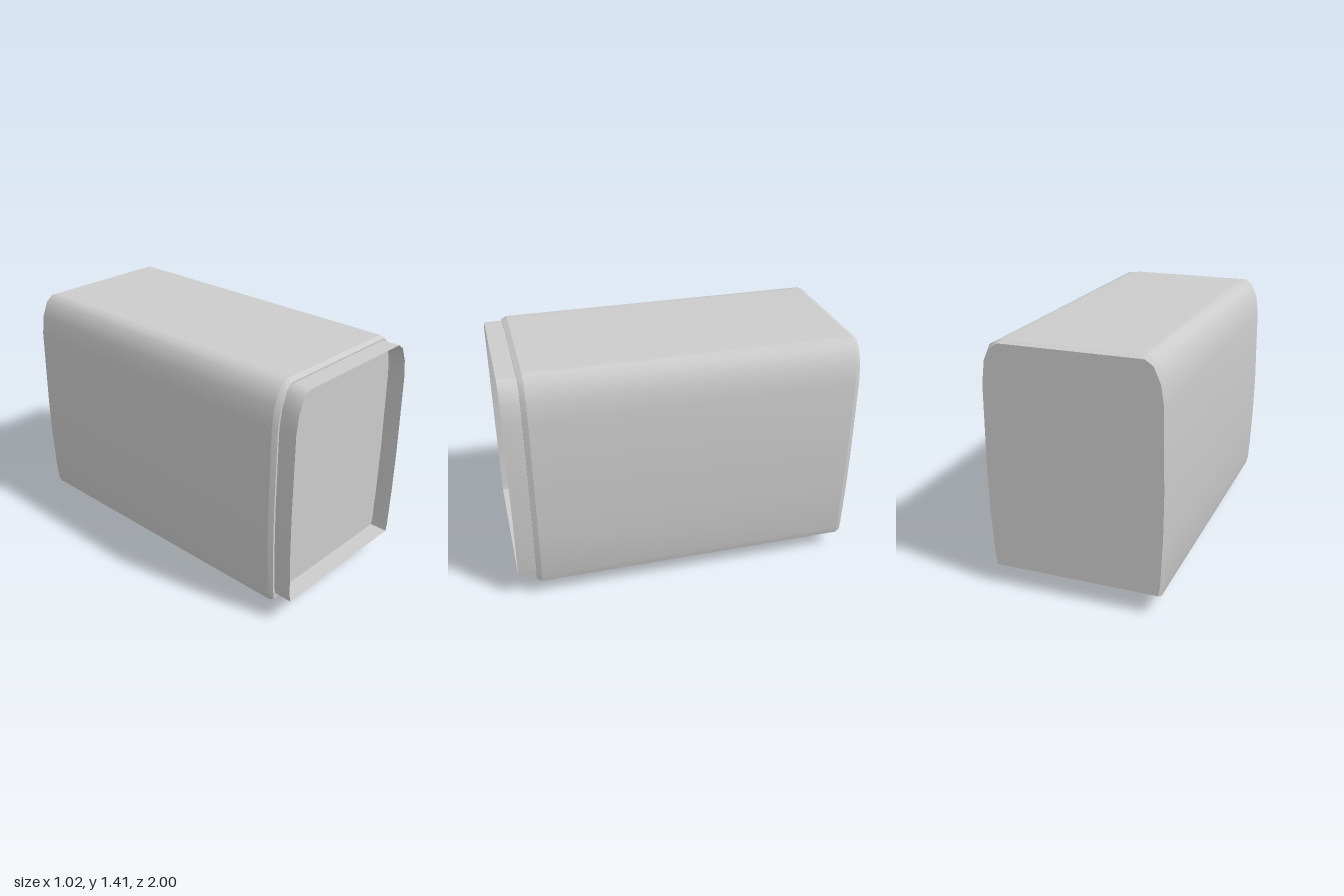
import * as THREE from 'three';
import { toCreasedNormals } from 'three/addons/utils/BufferGeometryUtils.js';

// half cross-sections [x, y], from the bottom corner up to the roof
const OUTER = [[0.465, 0.123], [0.479, 0.112], [0.491, 0.16], [0.505, 0.45], [0.51, 0.7],
  [0.505, 1.17], [0.49, 1.29], [0.45, 1.38], [0.40, 1.408], [0.37, 1.409]];
const INNER = [[0.46, 0.123], [0.47, 0.123], [0.479, 0.18], [0.493, 0.45], [0.497, 0.7],
  [0.491, 1.17], [0.475, 1.28], [0.438, 1.365], [0.395, 1.395], [0.37, 1.396]];
const SLEEVE = [[0.46, 0.156], [0.468, 0.2], [0.48, 0.45], [0.485, 0.7],
  [0.48, 1.17], [0.465, 1.275], [0.43, 1.358], [0.39, 1.386], [0.37, 1.387]];

const mirror = (half) => [...half, ...half.map(([x, y]) => [-x, y]).reverse()];

// skin between two matching sections, z0 < z1
function loft(half0, z0, half1, z1, closed = false) {
  const p = mirror(half0), q = mirror(half1), v = [];
  const count = closed ? p.length : p.length - 1;
  for (let i = 0; i < count; i++) {
    const j = (i + 1) % p.length;
    const a = [...p[i], z0], b = [...p[j], z0], c = [...q[j], z1], d = [...q[i], z1];
    v.push(...a, ...b, ...c, ...a, ...c, ...d);
  }
  const g = new THREE.BufferGeometry();
  g.setAttribute('position', new THREE.Float32BufferAttribute(v, 3));
  return toCreasedNormals(g, 0.8);
}

const cap = (half) => new THREE.ShapeGeometry(
  new THREE.Shape(mirror(half).map(([x, y]) => new THREE.Vector2(x, y))));

export function createModel() {
  const model = new THREE.Group();
  const grey = new THREE.MeshStandardMaterial({ color: 0xcccccc, side: THREE.DoubleSide });
  grey.name = 'light grey';

  const add = (name, geometry, x = 0, y = 0, z = 0) => {
    const mesh = new THREE.Mesh(geometry, grey);
    mesh.name = name;
    mesh.position.set(x, y, z);
    model.add(mesh);
    return mesh;
  };

  // main shell with bevelled rims and flat ends
  const back = -1, front = 0.895, bevel = 0.028;
  add('bodyShell', loft(OUTER, back + bevel, OUTER, front - bevel));
  add('backRim', loft(INNER, back, OUTER, back + bevel));
  add('frontRim', loft(OUTER, front - bevel, INNER, front));
  add('frontPanel', cap(INNER), 0, 0, front);
  add('backPanel', cap(INNER).rotateY(Math.PI), 0, 0, back);
  add('underside', new THREE.PlaneGeometry(0.93, front - back).rotateX(Math.PI / 2),
    0, 0.123, (front + back) / 2);

  // open connecting sleeve at the front
  add('frontSleeve', loft(SLEEVE, front, SLEEVE, 1, true));

  // pointed support plates hanging from long rails
  const plate = new THREE.Shape([[-0.118, 0.123], [-0.085, 0.042], [0, 0.003], [0.085, 0.042], [0.118, 0.123]]
    .map(([z, y]) => new THREE.Vector2(z, y)));
  const plateGeometry = toCreasedNormals(
    new THREE.ExtrudeGeometry(plate, { depth: 0.04, bevelEnabled: false })
      .translate(0, 0, -0.02).rotateY(-Math.PI / 2), 1.0);
  for (const side of [-1, 1]) {
    const name = side > 0 ? 'left' : 'right';
    add(name + 'Rail', new THREE.BoxGeometry(0.085, 0.014, 1.01), side * 0.3425, 0.116, -0.05);
    add(name + 'FrontSupport', plateGeometry, side * 0.32, 0, 0.335);
    add(name + 'BackSupport', plateGeometry, side * 0.32, 0, -0.437);
  }
  // rest the lowest points on the ground
  model.children.forEach((m) => { m.position.y -= 0.003; });
  return model;
}
